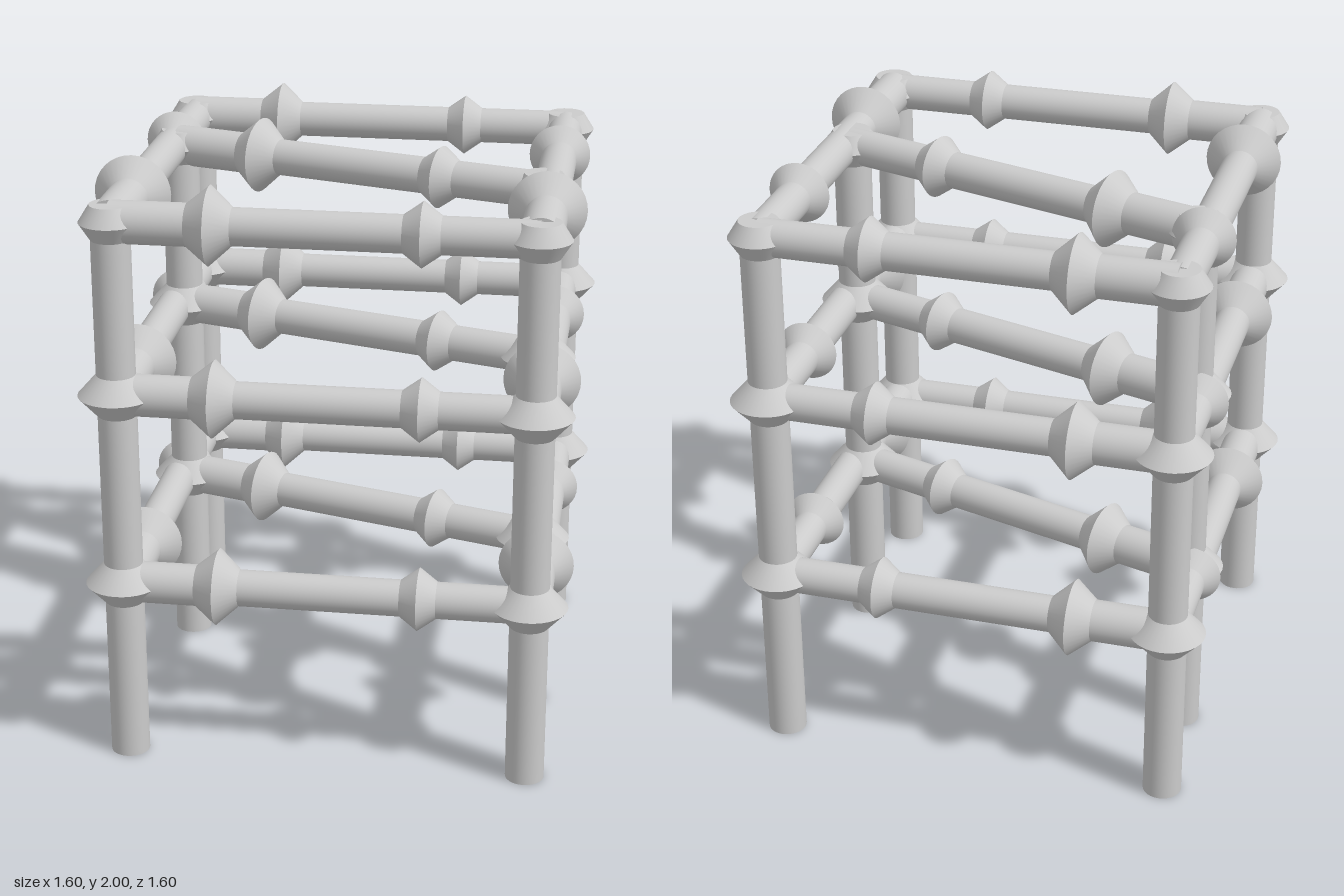
import * as THREE from 'three';

const material = new THREE.MeshStandardMaterial({ color: 0xcccccc });
const SIDES = 32;
const LEVELS = [0.63, 1.295, 1.873];

// One straight tapered piece of a member, running along its local y axis
function piece(parent, name, r0, r1, y0, y1, open = true) {
  const geometry = new THREE.CylinderGeometry(r1, r0, y1 - y0, SIDES, 1, open);
  const mesh = new THREE.Mesh(geometry, material);
  mesh.position.y = (y0 + y1) / 2;
  mesh.name = name;
  parent.add(mesh);
}

// Sharp-rimmed collar made of two cones meeting at the rim
function collar(parent, name, y, rim, half, neckBelow, neckAbove) {
  piece(parent, name, neckBelow, rim, y - half, y);
  piece(parent, name, rim, neckAbove, y, y + half);
}

// Upright with a collar at every level, the top one smaller
function makePost(name, x, z) {
  const post = new THREE.Group();
  post.name = name;
  post.position.set(x, 0, z);
  piece(post, 'postShaft', 0.065, 0.064, 0, 1.93, false);
  LEVELS.forEach((y, i) => {
    const top = i === LEVELS.length - 1;
    collar(post, 'postCollar', y, top ? 0.1 : 0.126, top ? 0.057 : 0.07, 0.064, 0.064);
  });
  return post;
}

// Rail from a to b: thick butt, large collar, slim shaft, small collar, tip
function makeRail(name, a, b) {
  const rail = new THREE.Group();
  rail.name = name;
  const dir = b.clone().sub(a);
  const length = dir.length();
  rail.position.copy(a);
  rail.quaternion.setFromUnitVectors(new THREE.Vector3(0, 1, 0), dir.normalize());
  const big = length * 0.236;
  const small = length * 0.731;
  piece(rail, 'railButt', 0.069, 0.069, 0, big, false);
  piece(rail, 'railShaft', 0.061, 0.061, big, length, false);
  collar(rail, 'largeCollar', big, 0.127, 0.072, 0.069, 0.061);
  collar(rail, 'smallCollar', small, 0.104, 0.06, 0.061, 0.061);
  return rail;
}

export function createModel() {
  const model = new THREE.Group();
  model.name = 'railFrame';
  const c = 0.673;

  // Four corner posts and two inner posts
  const posts = {
    frontLeftPost: [c, c],
    frontRightPost: [-c, c],
    backLeftPost: [c, -c],
    backRightPost: [-c, -c],
    middleLeftPost: [0.645, 0.13],
    middleRightPost: [-0.647, -0.257],
  };
  for (const [name, [x, z]] of Object.entries(posts)) model.add(makePost(name, x, z));

  // Rails joining the posts at each level
  const rails = [
    ['frontRail', 'frontRightPost', 'frontLeftPost'],
    ['backRail', 'backRightPost', 'backLeftPost'],
    ['leftSideRail', 'frontLeftPost', 'backLeftPost'],
    ['rightSideRail', 'frontRightPost', 'backRightPost'],
    ['diagonalRail', 'middleRightPost', 'middleLeftPost'],
  ];
  for (const y of LEVELS) {
    for (const [name, from, to] of rails) {
      const [a, b] = [from, to].map((p) => new THREE.Vector3(posts[p][0], y, posts[p][1]));
      model.add(makeRail(name, a, b));
    }
  }
  return model;
}
